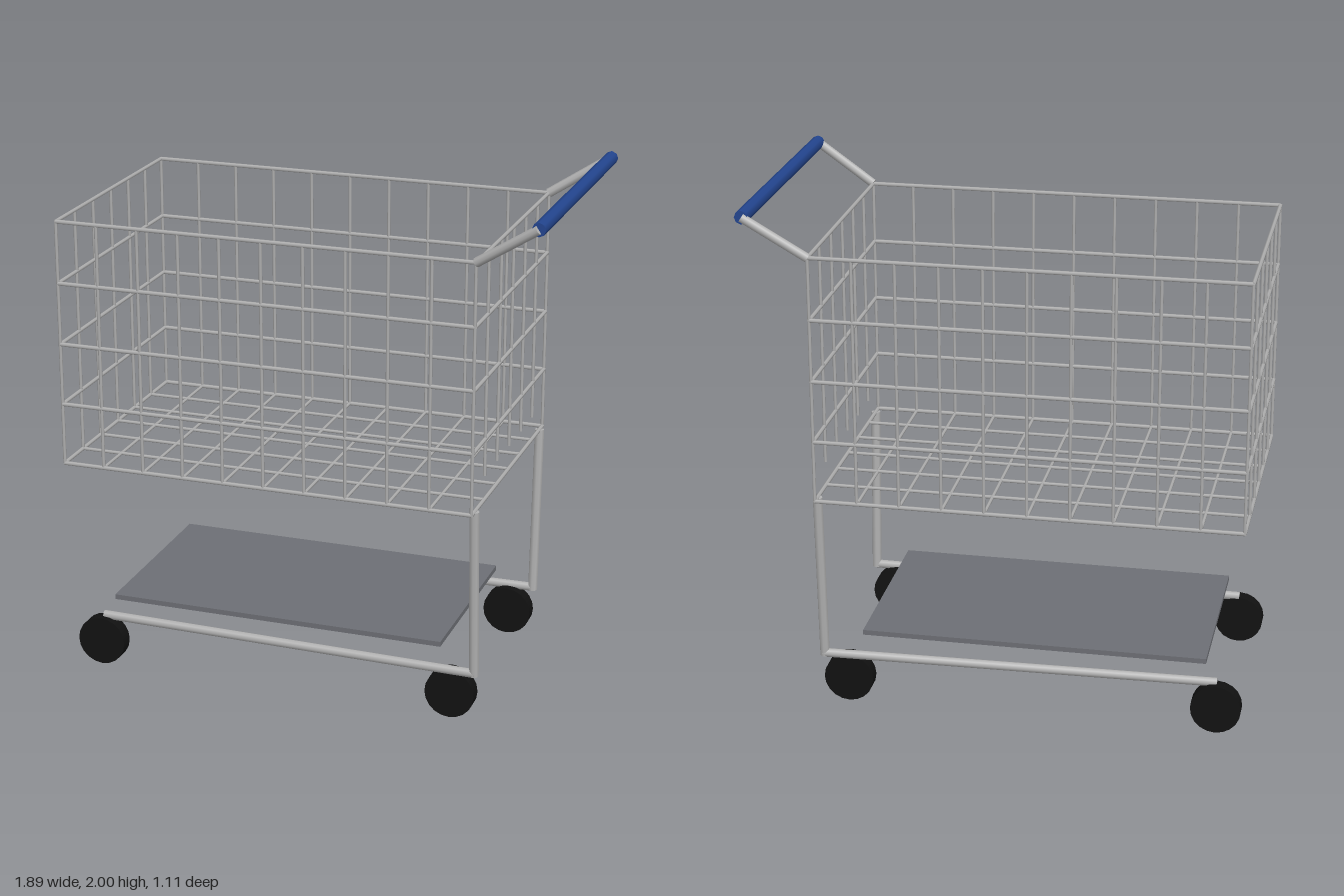
import * as THREE from 'three';

const steel = new THREE.MeshStandardMaterial({ name: 'steel', color: 0xb0b0b0 });
const blue = new THREE.MeshStandardMaterial({ name: 'blueGrip', color: 0x23458f });
const grey = new THREE.MeshStandardMaterial({ name: 'greyTray', color: 0x6d6f75 });
const black = new THREE.MeshStandardMaterial({ name: 'blackRubber', color: 0x111111 });

// Straight round bar between two points
function bar(parent, name, a, b, radius, material = steel, sides = 8) {
  const from = new THREE.Vector3(...a);
  const dir = new THREE.Vector3(...b).sub(from);
  const mesh = new THREE.Mesh(new THREE.CylinderGeometry(radius, radius, dir.length(), sides), material);
  mesh.name = name;
  mesh.position.copy(from).addScaledVector(dir, 0.5);
  mesh.quaternion.setFromUnitVectors(new THREE.Vector3(0, 1, 0), dir.normalize());
  parent.add(mesh);
  return mesh;
}

function createBasket() {
  const basket = new THREE.Group();
  basket.name = 'basket';
  const x0 = -0.94, x1 = 0.685, y0 = 0.865, y1 = 1.825, hz = 0.5;
  const rail = 0.008, wire = 0.0065;

  // Horizontal rings
  for (let i = 0; i <= 4; i++) {
    const y = y0 + (y1 - y0) * i / 4;
    for (const z of [-hz, hz]) bar(basket, 'sideRail', [x0, y, z], [x1, y, z], rail, steel, 6);
    for (const x of [x0, x1]) bar(basket, 'endRail', [x, y, -hz], [x, y, hz], rail, steel, 6);
  }
  // Side uprights and floor cross wires
  for (let i = 0; i <= 10; i++) {
    const x = x0 + (x1 - x0) * i / 10;
    for (const z of [-hz, hz]) bar(basket, 'sideWire', [x, y0, z], [x, y1, z], wire, steel, 6);
    if (i > 0 && i < 10) bar(basket, 'floorCrossWire', [x, y0, -hz], [x, y0, hz], wire, steel, 6);
  }
  // End uprights and long floor wires; the handle end's wires hang short of the floor
  for (let i = 1; i < 6; i++) {
    const z = -hz + 2 * hz * i / 6;
    bar(basket, 'noseWire', [x0, y0, z], [x0, y1, z], wire, steel, 6);
    bar(basket, 'gateWire', [x1, 0.96, z], [x1, y1, z], wire, steel, 6);
    bar(basket, 'floorLongWire', [x0, y0, z], [x1, y0, z], wire, steel, 6);
  }
  return basket;
}

export function createModel() {
  const cart = new THREE.Group();
  cart.name = 'shoppingCart';
  cart.add(createBasket());

  for (const s of [-1, 1]) {
    // Frame
    bar(cart, 'lowerTube', [-0.845, 0.195, 0.39 * s], [0.69, 0.195, 0.425 * s], 0.018);
    bar(cart, 'uprightTube', [0.685, 0.185, 0.423 * s], [0.685, 0.865, 0.46 * s], 0.019);
    bar(cart, 'handleArm', [0.685, 1.825, 0.5 * s], [0.918, 1.975, 0.535 * s], 0.018);
    // Wheels
    for (const x of [-0.845, 0.59]) {
      bar(cart, 'wheel', [x, 0.097, 0.375 * s], [x, 0.097, 0.43 * s], 0.097, black, 20);
    }
  }

  // Push handle
  bar(cart, 'handleGrip', [0.918, 1.975, -0.537], [0.918, 1.975, 0.537], 0.026, blue, 8);

  // Lower tray
  const tray = new THREE.Mesh(new THREE.BoxGeometry(1.34, 0.02, 0.77), grey);
  tray.name = 'lowerTray';
  tray.position.set(-0.13, 0.275, 0);
  cart.add(tray);

  return cart;
}
